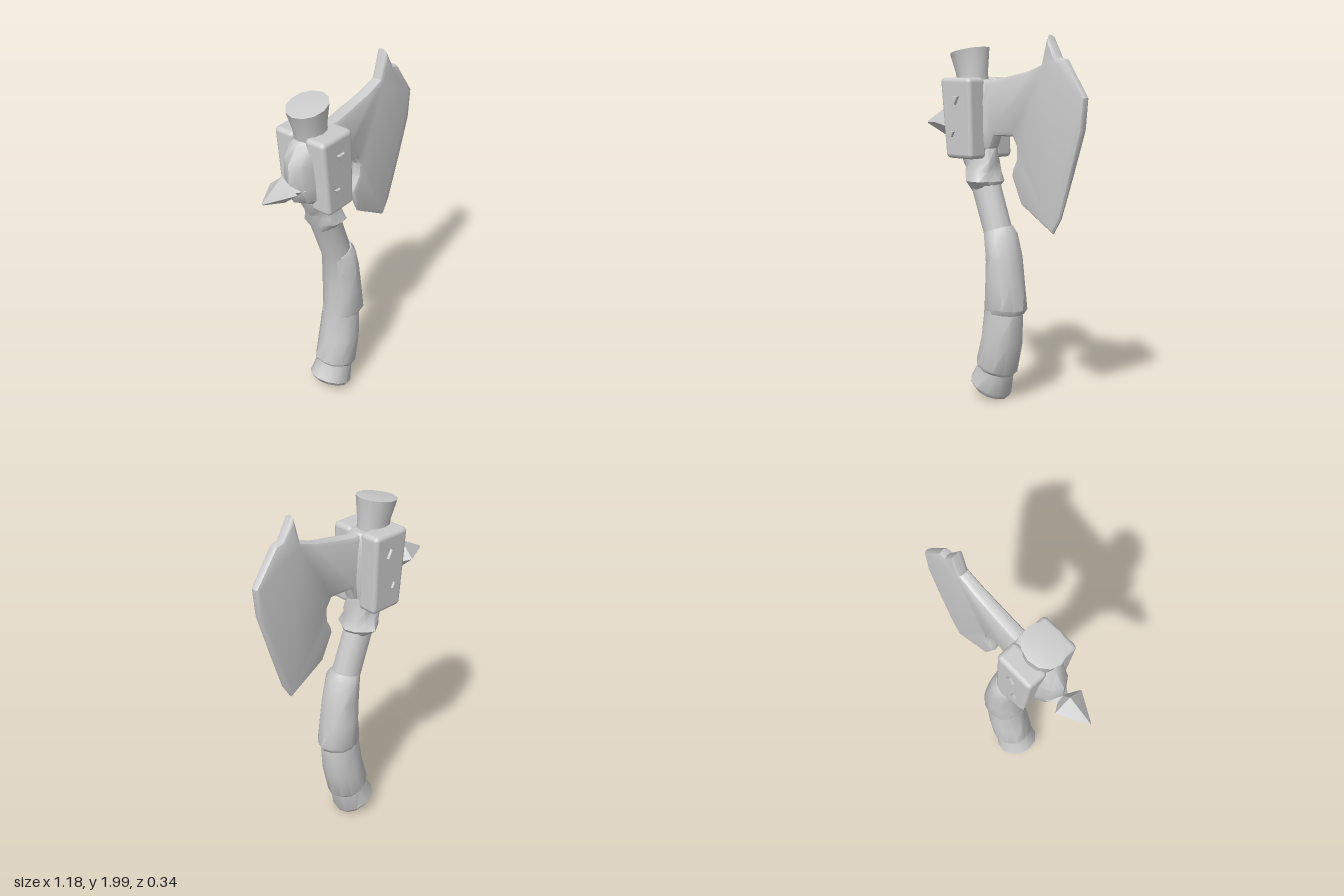
import * as THREE from 'three';
import { toCreasedNormals } from 'three/addons/utils/BufferGeometryUtils.js';
import { RoundedBoxGeometry } from 'three/addons/geometries/RoundedBoxGeometry.js';

const material = new THREE.MeshStandardMaterial({ color: 0xcccccc });

// Skin through rings given as [x0, y0, x1, y1, halfDepth]: two opposite ends of
// each ring in the xy plane and its half depth in z.
function loft(rings, sides, bump = 0, phase = 0, crease = 0.7) {
  const pos = [], idx = [];
  rings.forEach(([x0, y0, x1, y1, d], r) => {
    for (let i = 0; i < sides; i++) {
      const a = (i / sides) * Math.PI * 2 + phase;
      const k = 1 + bump * Math.sin(i * 2.7 + r * 1.9);
      const c = Math.cos(a) * 0.5 * k;
      pos.push((x0 + x1) / 2 + (x1 - x0) * c, (y0 + y1) / 2 + (y1 - y0) * c, Math.sin(a) * d * k);
    }
  });
  const last = rings.length - 1;
  for (let r = 0; r < last; r++) {
    for (let i = 0; i < sides; i++) {
      const a = r * sides + i, b = r * sides + (i + 1) % sides;
      idx.push(a, a + sides, b, b, a + sides, b + sides);
    }
  }
  // End caps
  for (const r of [0, last]) {
    const [x0, y0, x1, y1] = rings[r];
    const centre = pos.length / 3;
    pos.push((x0 + x1) / 2, (y0 + y1) / 2, 0);
    for (let i = 0; i < sides; i++) {
      const a = r * sides + i, b = r * sides + (i + 1) % sides;
      idx.push(centre, ...(r === 0 ? [a, b] : [b, a]));
    }
  }
  const g = new THREE.BufferGeometry();
  g.setAttribute('position', new THREE.Float32BufferAttribute(pos, 3));
  g.setIndex(idx);
  return toCreasedNormals(g, crease);
}

// Move every vertex by a rule
function warp(g, rule) {
  const p = g.attributes.position, v = new THREE.Vector3();
  for (let i = 0; i < p.count; i++) {
    rule(v.fromBufferAttribute(p, i));
    p.setXYZ(i, v.x, v.y, v.z);
  }
  return g;
}

export function createModel() {
  const axe = new THREE.Group();
  axe.name = 'axe';
  const add = (name, geometry) => {
    const m = new THREE.Mesh(geometry, material);
    m.name = name;
    axe.add(m);
    return m;
  };

  // Curved wooden haft with flared ends
  add('haft', loft([
    [-0.18, 0.09, 0.015, 0.01, 0.1],
    [-0.2, 0.125, 0.028, 0.03, 0.118],
    [-0.14, 0.22, 0.055, 0.16, 0.097],
    [-0.1, 0.5, 0.1, 0.5, 0.09],
    [-0.09, 0.75, 0.09, 0.75, 0.09],
    [-0.115, 0.93, 0.045, 0.98, 0.078],
    [-0.2, 1.15, -0.035, 1.2, 0.075],
    [-0.26, 1.32, -0.08, 1.36, 0.08],
    [-0.31, 1.7, -0.13, 1.72, 0.085],
    [-0.33, 1.8, -0.135, 1.81, 0.08],
    [-0.365, 1.9, -0.133, 1.945, 0.105],
    [-0.34, 1.908, -0.145, 1.945, 0.09],
  ], 12));

  // Leather grip in two overlapping wraps
  add('lowerGrip', loft([
    [-0.145, 0.2, 0.06, 0.145, 0.1],
    [-0.158, 0.225, 0.075, 0.16, 0.114],
    [-0.125, 0.36, 0.112, 0.33, 0.112],
    [-0.105, 0.48, 0.125, 0.47, 0.104],
    [-0.1, 0.54, 0.12, 0.53, 0.1],
  ], 12, 0.025));
  add('upperGrip', loft([
    [-0.098, 0.51, 0.135, 0.5, 0.1],
    [-0.097, 0.54, 0.152, 0.53, 0.112],
    [-0.088, 0.68, 0.13, 0.67, 0.11],
    [-0.088, 0.8, 0.112, 0.81, 0.106],
    [-0.1, 0.91, 0.078, 0.94, 0.1],
    [-0.108, 0.93, 0.052, 0.985, 0.082],
  ], 12, 0.025));

  // Knotted binding below the head
  add('binding', loft([
    [-0.2, 1.16, -0.045, 1.19, 0.072],
    [-0.225, 1.22, -0.03, 1.22, 0.118],
    [-0.235, 1.27, -0.05, 1.27, 0.1],
    [-0.265, 1.31, -0.045, 1.33, 0.085],
    [-0.29, 1.38, -0.06, 1.4, 0.09],
  ], 12, 0.07));

  // Socket of the head around the haft
  add('socket', loft([
    [-0.29, 1.38, -0.07, 1.36, 0.085],
    [-0.365, 1.42, -0.05, 1.43, 0.1],
    [-0.4, 1.5, -0.04, 1.5, 0.1],
    [-0.4, 1.65, -0.05, 1.65, 0.1],
    [-0.34, 1.73, -0.07, 1.75, 0.095],
    [-0.31, 1.76, -0.09, 1.77, 0.09],
  ], 10));

  // Back spike
  add('backSpike', loft([
    [-0.35, 1.42, -0.35, 1.58, 0.07],
    [-0.4, 1.475, -0.4, 1.535, 0.035],
    [-0.43, 1.45, -0.445, 1.61, 0.09],
    [-0.592, 1.515, -0.592, 1.53, 0.006],
  ], 4, 0, 0, 0.4));

  // Blade, thinning toward the cutting edge
  const outline = [
    [-0.12, 1.77], [-0.06, 1.765], [0.2, 1.815], [0.3, 1.85], [0.345, 2.0], [0.415, 1.885],
    [0.455, 1.875], [0.588, 1.685], [0.572, 1.52], [0.5, 1.29], [0.425, 1.06],
    [0.372, 0.975], [0.15, 1.11], [0.088, 1.26], [0.098, 1.3], [0.125, 1.345],
    [0.13, 1.42], [0.1, 1.47], [-0.03, 1.468], [-0.055, 1.4], [-0.12, 1.37],
  ].map(([x, y]) => new THREE.Vector2(x, y));
  const blade = new THREE.ExtrudeGeometry(new THREE.Shape(outline), {
    depth: 0.02, bevelThickness: 0.028, bevelSize: 0.025, bevelOffset: -0.025, bevelSegments: 2,
  });
  blade.translate(0, 0, -0.01);
  warp(blade, v => {
    const low = THREE.MathUtils.clamp((v.y - 0.9) / 0.5, 0.5, 1);
    v.z *= (1.1 - 0.7 * Math.max(v.x, 0)) * low;
  });
  add('blade', toCreasedNormals(blade, 0.6));

  // Cheek plates on both faces, narrower at the bottom, each with two rivets
  const plate = warp(new RoundedBoxGeometry(0.215, 0.435, 0.125, 2, 0.025), v => {
    const t = v.y / 0.435;
    v.x = v.x * (1 + 0.16 * t) - 0.03 * t;
  });
  for (const side of [1, -1]) {
    const label = side > 0 ? 'front' : 'back';
    add(label + 'CheekPlate', plate).position.set(-0.193, 1.562, side * 0.0975);
    for (const [x, y, r] of [[-0.195, 1.665, 0.038], [-0.22, 1.48, 0.024]]) {
      const rivet = new THREE.CylinderGeometry(r * 0.7, r, 0.02, 3);
      rivet.rotateX(side * Math.PI / 2);
      add(label + 'Rivet', toCreasedNormals(rivet, 0.5)).position.set(x, y, side * 0.162);
    }
  }
  return axe;
}
